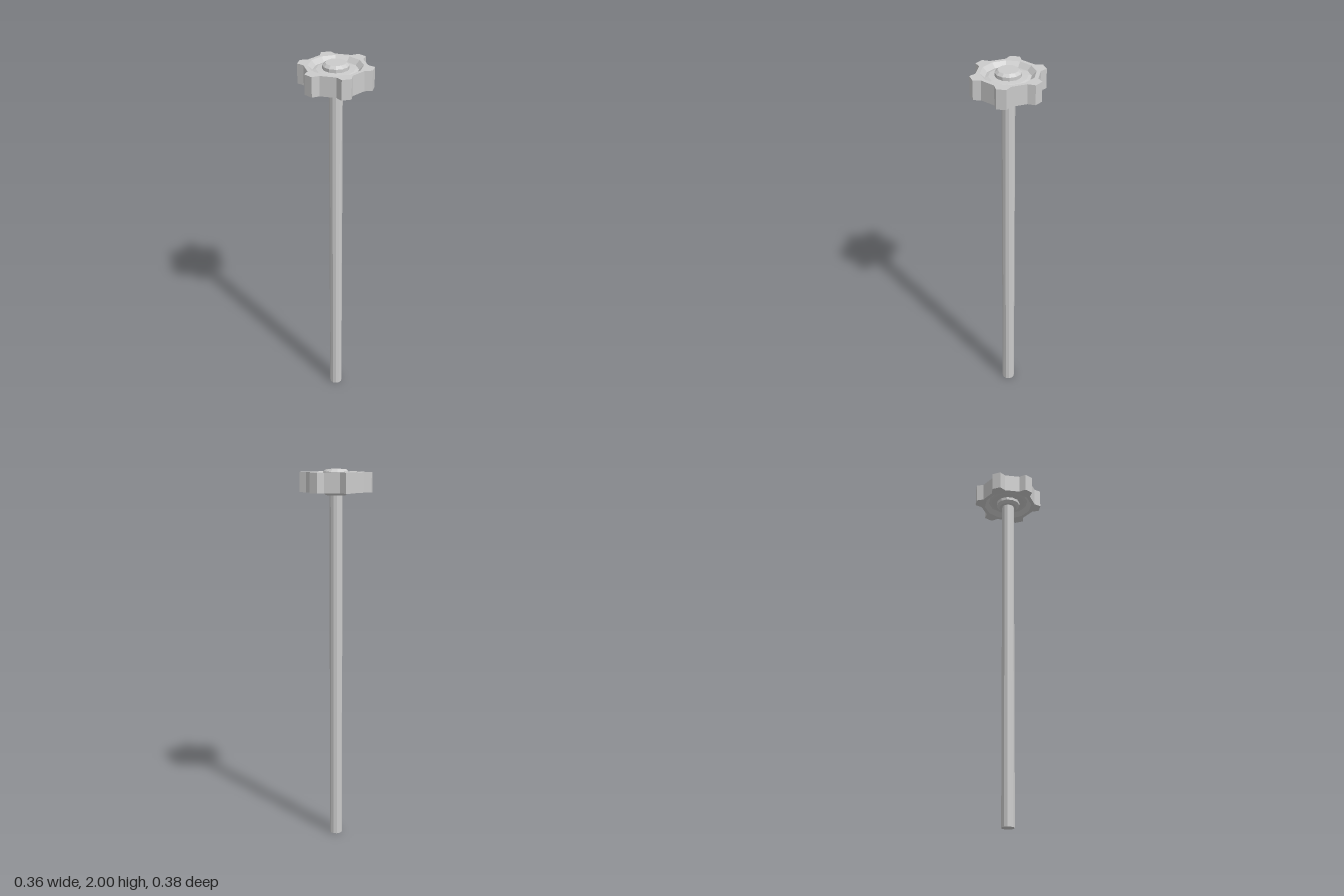
import * as THREE from 'three';

const SIDES = 12, TEETH = 6, MID = 1.934, HALF = 0.051;
const RIM = 0.135;               // radius where the dished face meets the rim
const rad = THREE.MathUtils.degToRad;
const material = new THREE.MeshStandardMaterial({ color: 0xcccccc, flatShading: true });

// point at an angle measured clockwise from the back
const polar = (r, deg) => new THREE.Vector2(r * Math.sin(rad(deg)), r * Math.cos(rad(deg)));

function add(group, name, geometry) {
  const mesh = new THREE.Mesh(geometry, material);
  mesh.name = name;
  group.add(mesh);
  return mesh;
}

function lathe(profile) {
  const points = profile.map(([r, y]) => new THREE.Vector2(r, y));
  return new THREE.LatheGeometry(points, SIDES, rad(10));
}

export function createModel() {
  const group = new THREE.Group();
  group.name = 'valveHandleAndStem';

  // toothed rim, open in the middle
  const outline = [];
  for (let i = 0; i < TEETH; i++) {
    const a = 5 + i * 360 / TEETH;
    outline.push(polar(0.155, a - 14.7), polar(0.188, a - 7.4), polar(0.188, a + 7.4), polar(0.155, a + 14.7));
  }
  const shape = new THREE.Shape(outline);
  const hole = [];
  for (let i = 0; i < SIDES; i++) hole.push(polar(RIM, -10 + i * 360 / SIDES));
  shape.holes.push(new THREE.Path(hole));
  const rim = new THREE.ExtrudeGeometry(shape, { depth: HALF * 2, bevelEnabled: false });
  rim.rotateX(-Math.PI / 2);
  rim.translate(0, MID - HALF, 0);
  add(group, 'toothedRim', rim);

  // dished face with groove, web and bevelled hub, from rim to axis
  const face = [
    [RIM, HALF], [0.112, 0.029], [0.096, 0.034], [0.066, 0.036],
    [0.066, 0.053], [0.051, 0.066], [0, 0.066],
  ];
  add(group, 'upperFaceAndHub', lathe(face.map(([r, y]) => [r, MID + y])));
  add(group, 'lowerFaceAndHub', lathe(face.map(([r, y]) => [r, MID - y]).reverse()));

  // long stem
  const length = MID - 0.06;
  const stem = new THREE.CylinderGeometry(0.034, 0.034, length, SIDES, 1, false, rad(10));
  stem.translate(0, length / 2, 0);
  add(group, 'stem', stem);

  return group;
}
